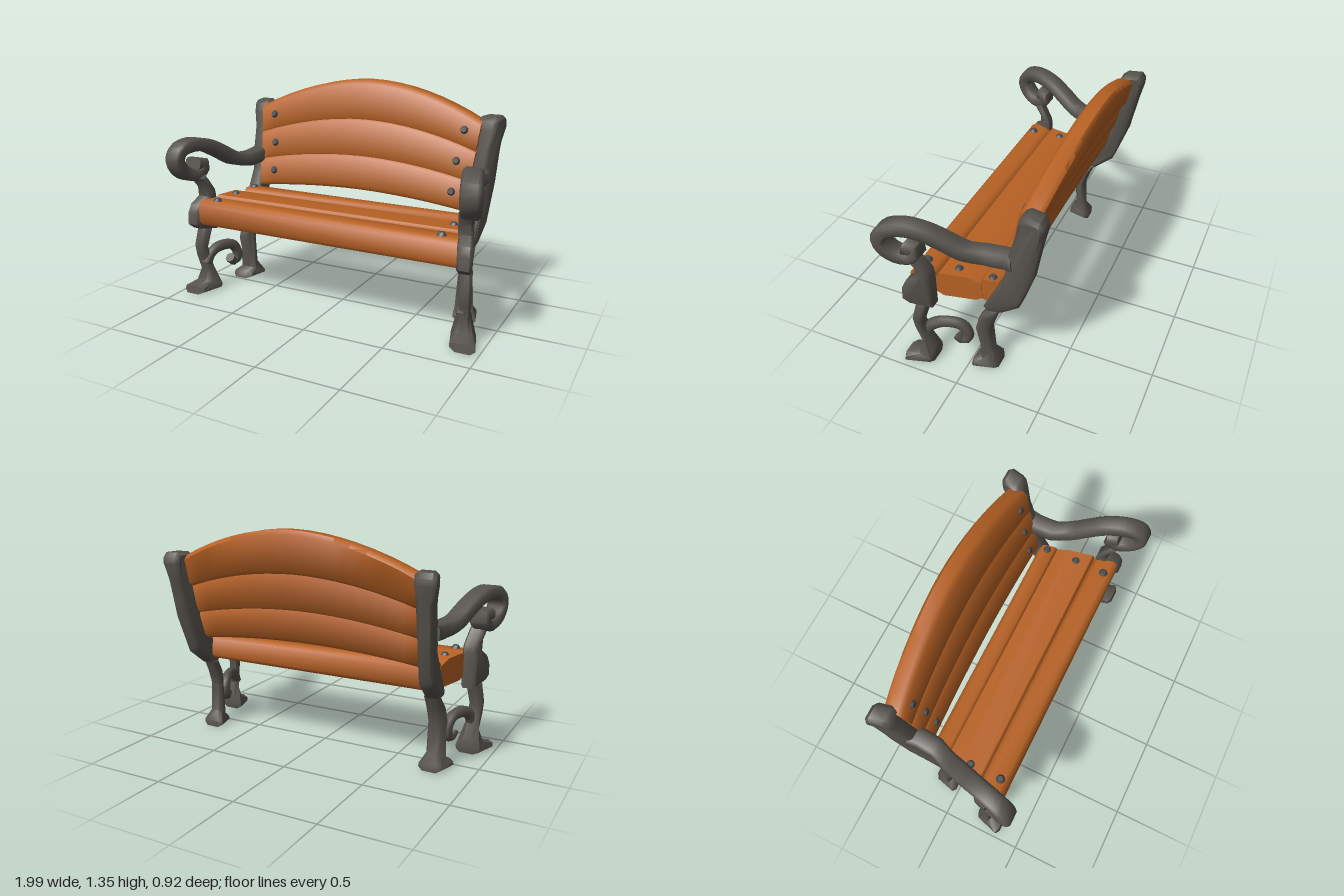
import * as THREE from 'three';
import { toCreasedNormals } from 'three/addons/utils/BufferGeometryUtils.js';

const wood = new THREE.MeshStandardMaterial({ color: 0xb86224 });
wood.name = 'orange wood';
const iron = new THREE.MeshStandardMaterial({ color: 0x57534d });
iron.name = 'cast iron';
const steel = new THREE.MeshStandardMaterial({ color: 0x4a4a4b });
steel.name = 'bolt steel';

const { clamp } = THREE.MathUtils;
const CREASE = 0.9;

// The side frames splay outward: distance from the middle as a function of z
const SPLAY = [[-0.46, 0.805], [-0.35, 0.78], [-0.22, 0.757], [-0.1, 0.765], [0, 0.805], [0.2, 0.87], [0.46, 0.945]];
function splay(z) {
  const i = clamp(SPLAY.findIndex((p) => z <= p[0]), 1, SPLAY.length - 1);
  const [z0, x0] = SPLAY[i - 1], [z1, x1] = SPLAY[i];
  return x0 + (x1 - x0) * clamp((z - z0) / (z1 - z0), 0, 1);
}

function addMesh(parent, name, geometry, material) {
  const mesh = new THREE.Mesh(geometry, material);
  mesh.name = name;
  parent.add(mesh);
  return mesh;
}

// Chamfered rectangle with half sizes a and b
function chamferRect(a, b, c) {
  return [[a, c - b], [a, b - c], [a - c, b], [c - a, b], [-a, b - c], [-a, c - b], [c - a, -b], [a - c, -b]];
}

// Skin over a row of equal rings of Vector3, with closed ends
function loft(rings) {
  const n = rings[0].length, pos = [];
  const tri = (...v) => v.forEach((p) => pos.push(p.x, p.y, p.z));
  for (let i = 0; i < rings.length - 1; i++) {
    for (let j = 0; j < n; j++) {
      const k = (j + 1) % n, A = rings[i], B = rings[i + 1];
      tri(A[j], A[k], B[k]);
      tri(A[j], B[k], B[j]);
    }
  }
  const last = rings[rings.length - 1];
  for (let j = 1; j < n - 1; j++) {
    tri(rings[0][0], rings[0][j + 1], rings[0][j]);
    tri(last[0], last[j], last[j + 1]);
  }
  // Turn the faces outward if the signed volume is negative
  let volume = 0;
  const P = (i) => new THREE.Vector3().fromArray(pos, i);
  for (let i = 0; i < pos.length; i += 9) volume += P(i).dot(P(i + 3).cross(P(i + 6)));
  if (volume < 0) {
    for (let i = 0; i < pos.length; i += 9) {
      for (let c = 0; c < 3; c++) [pos[i + 3 + c], pos[i + 6 + c]] = [pos[i + 6 + c], pos[i + 3 + c]];
    }
  }
  const g = new THREE.BufferGeometry();
  g.setAttribute('position', new THREE.Float32BufferAttribute(pos, 3));
  return toCreasedNormals(g, CREASE);
}

// Cast plate from a (z, y) outline, bent along the splay; widen(y) scales its width
function plate(outline, width, side, dx, widen = () => 1) {
  const bevel = 0.016;
  const g = new THREE.ExtrudeGeometry(new THREE.Shape(outline.map((p) => new THREE.Vector2(...p))), {
    depth: width - 2 * bevel, bevelEnabled: true, bevelSize: bevel, bevelOffset: -bevel,
    bevelThickness: bevel, bevelSegments: 1,
  });
  g.translate(0, 0, bevel - width / 2).rotateY(-Math.PI / 2);
  const p = g.attributes.position;
  for (let i = 0; i < p.count; i++) {
    p.setX(i, p.getX(i) * widen(p.getY(i)) + side * (splay(p.getZ(i)) + dx));
  }
  return toCreasedNormals(g, CREASE);
}
const foot = (amount) => (y) => 1 + amount * clamp((0.09 - y) / 0.05, 0, 1);
const head = (y) => 1 + 0.38 * clamp((y - 1.02) / 0.09, 0, 1);

// Bar of chamfered section following a (z, y) path
function scroll(path, steps, half, halfEnd, width, side, dx = 0) {
  const curve = new THREE.CatmullRomCurve3(path.map(([z, y]) => new THREE.Vector3(0, y, z)));
  const rings = [];
  for (let i = 0; i <= steps; i++) {
    const t = i / steps, p = curve.getPointAt(t), d = curve.getTangentAt(t);
    const h = half + (halfEnd - half) * t;
    rings.push(chamferRect(width / 2, h, 0.016).map(([a, b]) =>
      new THREE.Vector3(side * (splay(p.z) + dx) + a, p.y + b * d.z, p.z - b * d.y)));
  }
  return loft(rings);
}

const POST = [[-0.32, 1.155], [-0.35, 1.18], [-0.435, 1.18], [-0.457, 1.15], [-0.457, 1.11], [-0.435, 1.01],
  [-0.41, 0.885], [-0.39, 0.78], [-0.32, 0.58], [-0.305, 0.54], [-0.19, 0.446], [-0.115, 0.436], [-0.09, 0.465],
  [-0.175, 0.635], [-0.22, 0.725], [-0.235, 0.85], [-0.285, 1.01], [-0.305, 1.1]];
const BACK_LEG = [[-0.115, 0.45], [-0.06, 0.368], [-0.04, 0.28], [-0.06, 0.154], [-0.064, 0.07], [-0.025, 0.046],
  [-0.016, 0], [-0.168, 0], [-0.168, 0.04], [-0.13, 0.1], [-0.118, 0.28], [-0.15, 0.37], [-0.19, 0.46]];
const FRONT_LEG = [[0.27, 0.45], [0.304, 0.314], [0.293, 0.243], [0.264, 0.146], [0.28, 0.075], [0.354, 0.05],
  [0.362, 0], [0.193, 0], [0.186, 0.04], [0.193, 0.1], [0.23, 0.207], [0.25, 0.296], [0.205, 0.44]];
const BRACKET = [[0.31, 0.76], [0.264, 0.696], [0.26, 0.636], [0.32, 0.593], [0.343, 0.54], [0.346, 0.464],
  [0.307, 0.432], [0.186, 0.41], [0.186, 0.62], [0.193, 0.67], [0.236, 0.74], [0.264, 0.78]];
const ARM = [[-0.27, 0.83], [-0.1, 0.82], [0, 0.84], [0.1, 0.9], [0.2, 0.953], [0.31, 0.972], [0.392, 0.947],
  [0.419, 0.89], [0.388, 0.823], [0.32, 0.783], [0.26, 0.793], [0.238, 0.84], [0.295, 0.85]];
const CURL = [[0.26, 0.18], [0.23, 0.235], [0.18, 0.268], [0.12, 0.276], [0.06, 0.262], [0.026, 0.215],
  [0.025, 0.165], [0.05, 0.146], [0.08, 0.175]];

// Front face of the leaning back rest
const backZ = (y) => -0.186 - 0.23 * (y - 0.68);

// Arched back slat: edges given at the middle and at the ends
function backSlat(halfLength, topMid, topEnd, lowMid, lowEnd, depth) {
  const rings = [], steps = 16;
  for (let i = 0; i <= steps; i++) {
    const u = i / steps * 2 - 1, bow = Math.abs(u) ** 1.9;
    const top = topMid + (topEnd - topMid) * bow, low = lowMid + (lowEnd - lowMid) * bow;
    rings.push(chamferRect(depth / 2, (top - low) / 2, 0.024).map(([a, b]) => {
      const y = (top + low) / 2 + b;
      return new THREE.Vector3(u * (halfLength + (y - (topEnd + lowEnd) / 2) * 0.1 * bow), y, backZ(y) - depth / 2 + a);
    }));
  }
  return loft(rings);
}

// Straight seat slat from a (z, y) section, its ends following the frames
function seatSlat(section, halfLength) {
  const zMid = section.reduce((s, p) => s + p[0], 0) / section.length;
  return loft([-1, 1].map((s) => section.map(([z, y]) =>
    new THREE.Vector3(s * (halfLength + (z - zMid) * 0.2), y, z))));
}

function bolt(parent, name, x, y, z, tilt) {
  const m = addMesh(parent, name, toCreasedNormals(new THREE.CylinderGeometry(0.016, 0.03, 0.022, 10), CREASE), steel);
  m.position.set(x, y, z);
  m.rotation.x = tilt;
}

export function createModel() {
  const bench = new THREE.Group();
  bench.name = 'bench';

  // Cast side frames
  for (const side of [1, -1]) {
    const frame = new THREE.Group();
    frame.name = side > 0 ? 'leftFrame' : 'rightFrame';
    bench.add(frame);
    addMesh(frame, 'backPost', plate(POST, 0.088, side, 0.006, head), iron);
    addMesh(frame, 'backLeg', plate(BACK_LEG, 0.08, side, -0.003, foot(0.75)), iron);
    addMesh(frame, 'frontLeg', plate(FRONT_LEG, 0.076, side, -0.008, foot(0.95)), iron);
    addMesh(frame, 'armSupport', plate(BRACKET, 0.09, side, -0.018), iron);
    addMesh(frame, 'armrest', scroll(ARM, 40, 0.045, 0.037, 0.114, side, 0.007), iron);
    addMesh(frame, 'legScroll', scroll(CURL, 22, 0.033, 0.03, 0.06, side, -0.022), iron);
  }

  // Seat slats, touching below their bevelled top edges
  const seat = new THREE.Group();
  seat.name = 'seat';
  bench.add(seat);
  addMesh(seat, 'frontSeatSlat', seatSlat([[0.175, 0.49], [0.175, 0.595], [0.208, 0.622], [0.3, 0.622], [0.328, 0.6],
    [0.333, 0.49], [0.315, 0.465], [0.205, 0.465]], 0.832), wood);
  addMesh(seat, 'middleSeatSlat', seatSlat([[0.145, 0.468], [0.178, 0.49], [0.178, 0.608], [0.165, 0.627],
    [0.015, 0.627], [-0.07, 0.598], [-0.07, 0.49], [-0.035, 0.47]], 0.8), wood);
  addMesh(seat, 'backSeatSlat', seatSlat([[-0.065, 0.49], [-0.065, 0.61], [-0.08, 0.627], [-0.15, 0.627],
    [-0.175, 0.6], [-0.18, 0.5], [-0.16, 0.475], [-0.085, 0.475]], 0.76), wood);

  // Back slats, overlapping a little
  const back = new THREE.Group();
  back.name = 'backRest';
  bench.add(back);
  addMesh(back, 'topBackSlat', backSlat(0.75, 1.352, 1.15, 1.095, 0.965, 0.112), wood);
  addMesh(back, 'middleBackSlat', backSlat(0.735, 1.125, 0.99, 0.87, 0.79, 0.092), wood);
  addMesh(back, 'lowerBackSlat', backSlat(0.725, 0.9, 0.815, 0.675, 0.625, 0.08), wood);

  // Bolts
  for (const s of [1, -1]) {
    for (const [x, z] of [[0.74, 0.275], [0.74, 0.08], [0.73, -0.12]]) bolt(seat, 'seatBolt', s * x, 0.63, z, 0);
    for (const [x, y] of [[0.66, 1.1], [0.632, 0.918], [0.622, 0.738]]) {
      bolt(back, 'backBolt', s * x, y, backZ(y) + 0.003, Math.PI / 2 - 0.22);
    }
  }
  return bench;
}
